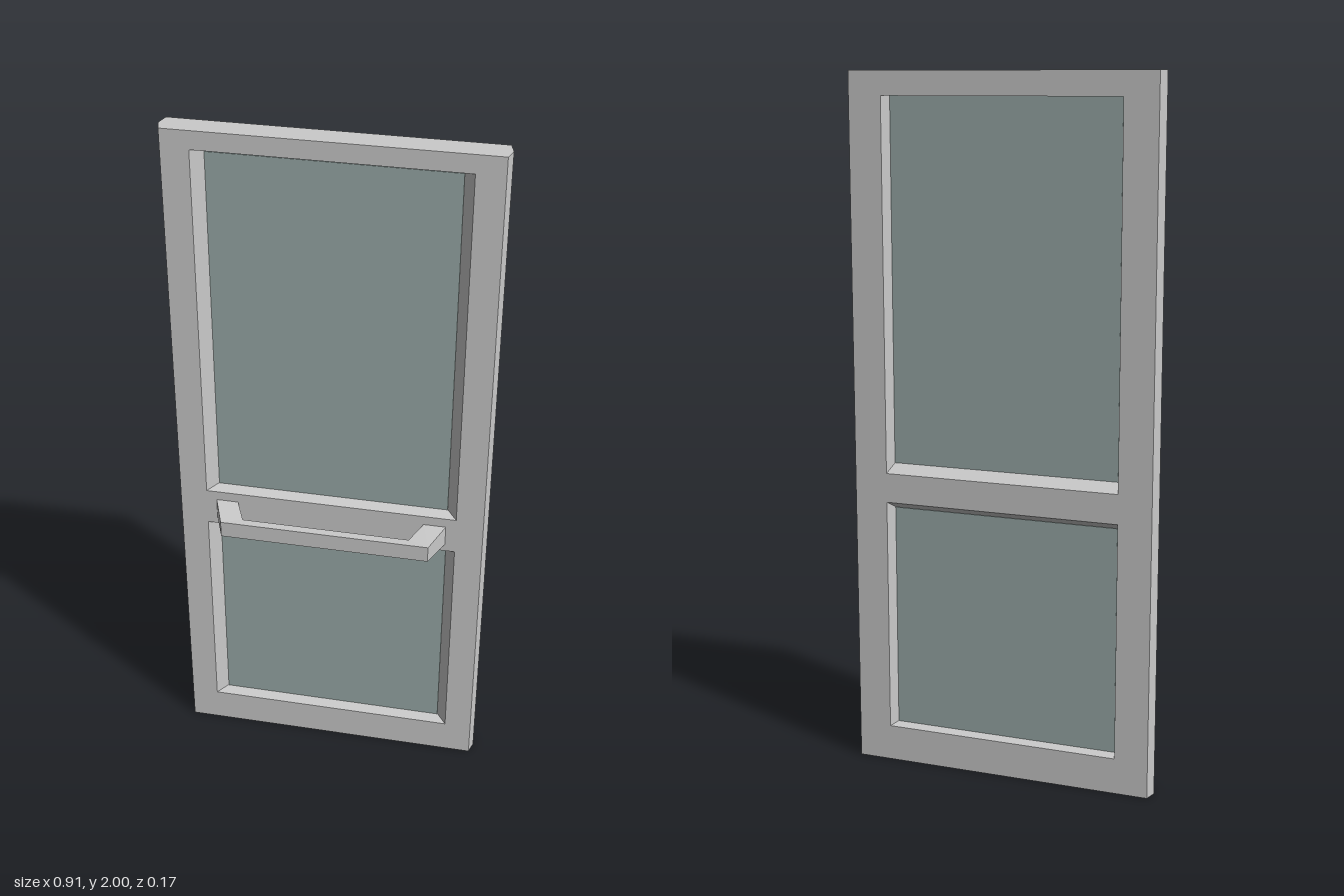
import * as THREE from 'three';

const FRONT = -0.012, MID = -0.047, BACK = -0.085;

// Counter-clockwise rectangle of 2D points
const rect = (w, y0, y1) => [[-w, y0], [w, y0], [w, y1], [-w, y1]];
const atZ = (pts, z) => pts.map(([x, y]) => [x, y, z]);

// Flat-sided skin through a list of four-cornered rings
function loft(rings) {
  const pos = [];
  for (let r = 0; r < rings.length - 1; r++) {
    const a = rings[r], b = rings[r + 1];
    for (let i = 0; i < a.length; i++) {
      const j = (i + 1) % a.length;
      pos.push(...a[i], ...b[i], ...b[j], ...a[i], ...b[j], ...a[j]);
    }
  }
  const g = new THREE.BufferGeometry();
  g.setAttribute('position', new THREE.Float32BufferAttribute(pos, 3));
  g.computeVertexNormals();
  return g;
}

// Flat frame face with its two window openings
function faceGeometry(outline, holes) {
  const vec = (pts) => pts.map(([x, y]) => new THREE.Vector2(x, y));
  const shape = new THREE.Shape(vec(outline));
  holes.forEach((h) => shape.holes.push(new THREE.Path(vec(h).reverse())));
  return new THREE.ShapeGeometry(shape);
}

export function createModel() {
  const group = new THREE.Group();
  const frameMat = new THREE.MeshStandardMaterial({ color: 0xcacaca });
  frameMat.name = 'light grey frame';
  const glassMat = new THREE.MeshStandardMaterial({ color: 0x9aaba9 });
  glassMat.name = 'grey green glass';

  const add = (name, geometry, material, parent = group) => {
    const mesh = new THREE.Mesh(geometry, material);
    mesh.name = name;
    parent.add(mesh);
    return mesh;
  };

  // Each opening narrows from the front to the glass, then widens to the back
  const openings = [
    { name: 'upper', front: rect(0.365, 0.888, 1.948), mid: rect(0.335, 0.897, 1.932), back: rect(0.346, 0.872, 1.932) },
    { name: 'lower', front: rect(0.365, 0.102, 0.776), mid: rect(0.335, 0.108, 0.765), back: rect(0.346, 0.104, 0.787) },
  ];

  // Door frame: front face, back face, pointed outer edges
  const frame = new THREE.Group();
  frame.name = 'doorFrame';
  group.add(frame);
  const outer = rect(0.443, 0, 2), widest = rect(0.453, 0, 2);
  add('frameFront', faceGeometry(outer, openings.map((o) => o.front)), frameMat, frame).position.z = FRONT;
  const back = add('frameBack', faceGeometry(outer, openings.map((o) => o.back)), frameMat, frame);
  back.rotation.y = Math.PI;
  back.position.z = BACK;
  add('frameEdges', loft([atZ(outer, FRONT), atZ(widest, MID), atZ(outer, BACK)]), frameMat, frame);

  // Slanted reveals and glass panes
  for (const o of openings) {
    const rings = [atZ(o.front, FRONT), atZ(o.mid, MID), atZ(o.back, BACK)];
    add(o.name + 'Reveal', loft(rings.map((r) => r.reverse())), frameMat, frame);
    const [[x0, y0], , [x1, y1]] = o.mid;
    const pane = add(o.name + 'Glass', new THREE.BoxGeometry(x1 - x0, y1 - y0, 0.004), glassMat);
    pane.position.set(0, (y0 + y1) / 2, MID);
  }

  // Push bar: splayed feet joined by a straight grip
  const section = (s, xOut, zOut, xIn, zIn, y0, y1) => [
    [s * xOut, y0, zOut], [s * xOut, y1, zOut], [s * xIn, y1, zIn], [s * xIn, y0, zIn],
  ];
  const foot = (s) => section(s, 0.336, FRONT, 0.272, FRONT, 0.798, 0.86);
  const corner = (s) => section(s, 0.3, 0.083, 0.241, 0.058, 0.803, 0.852);
  add('pushBar', loft([foot(-1), corner(-1), corner(1), foot(1)]), frameMat);

  return group;
}
